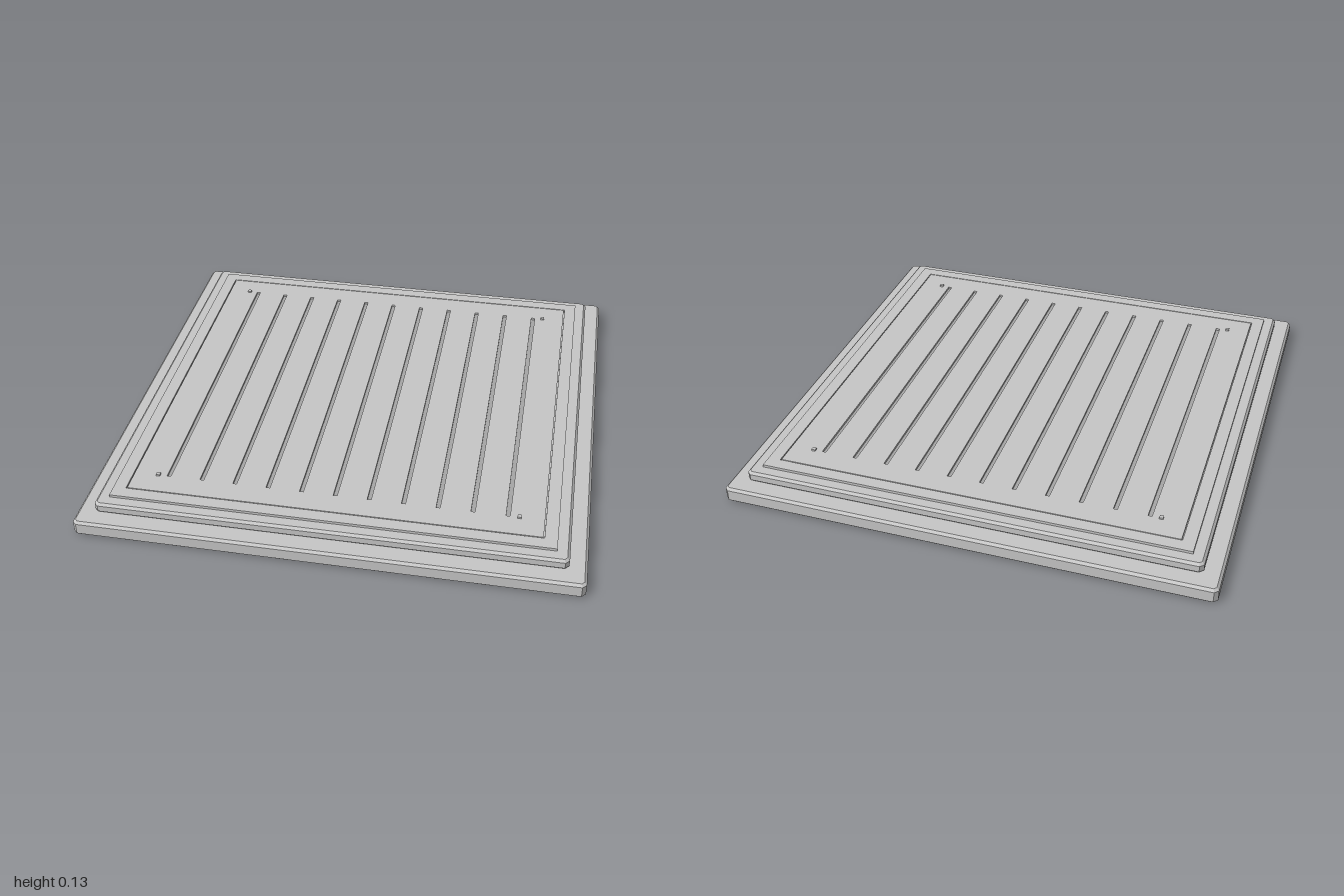
import * as THREE from 'three';

export function createModel() {
  const group = new THREE.Group();
  const stone = new THREE.MeshStandardMaterial({ color: 0xc7c7c7 });
  stone.name = 'lightGrey';
  const groove = new THREE.MeshStandardMaterial({ color: 0xa6a6a6 });
  groove.name = 'grooveGrey';

  const add = (name, geometry, material, x = 0, y = 0, z = 0) => {
    const mesh = new THREE.Mesh(geometry, material);
    mesh.name = name;
    mesh.position.set(x, y, z);
    group.add(mesh);
  };

  // Axis-aligned rectangle outline
  const rect = (Type, hw, hh, cx = 0) => {
    const path = new Type();
    path.moveTo(cx - hw, -hh);
    path.lineTo(cx + hw, -hh);
    path.lineTo(cx + hw, hh);
    path.lineTo(cx - hw, hh);
    path.closePath();
    return path;
  };
  const flatExtrude = (shape, depth) =>
    new THREE.ExtrudeGeometry(shape, { depth, bevelEnabled: false }).rotateX(-Math.PI / 2);

  // Square slab with every edge chamfered, standing on y = 0
  const chamferedSlab = (half, height, c) => {
    const a = half - c;
    const b = half - 2 * c;
    const outline = [[a, -b], [a, b], [b, a], [-b, a], [-a, b], [-a, -b], [-b, -a], [b, -a]];
    const shape = new THREE.Shape(outline.map(([x, y]) => new THREE.Vector2(x, y)));
    return new THREE.ExtrudeGeometry(shape, {
      depth: height - 2 * c, bevelThickness: c, bevelSize: c, bevelSegments: 1,
    }).rotateX(-Math.PI / 2).translate(0, c, 0);
  };

  // Two stepped slabs
  add('baseSlab', chamferedSlab(1, 0.066, 0.01), stone);
  add('upperSlab', chamferedSlab(0.93, 0.046, 0.01), stone, 0, 0.066, 0);

  // Thin border around the slotted plate
  const border = rect(THREE.Shape, 0.88, 0.88);
  border.holes.push(rect(THREE.Path, 0.829, 0.829));
  add('border', flatExtrude(border, 0.011), stone, 0, 0.112, 0);

  // Plate with eleven parallel slots
  const plate = rect(THREE.Shape, 0.825, 0.825);
  const slots = 11;
  for (let i = 0; i < slots; i++) {
    const x = (i - (slots - 1) / 2) * 0.1365;
    plate.holes.push(rect(THREE.Path, 0.008, 0.727, x));
    add('slotFloor', new THREE.BoxGeometry(0.016, 0.002, 1.454), groove, x, 0.113, 0);
  }
  add('slottedPlate', flatExtrude(plate, 0.011), stone, 0, 0.112, 0);

  // Small corner studs
  for (const x of [-0.727, 0.727]) {
    for (const z of [-0.727, 0.727]) {
      add('cornerStud', new THREE.BoxGeometry(0.016, 0.008, 0.016), stone, x, 0.126, z);
    }
  }
  return group;
}
